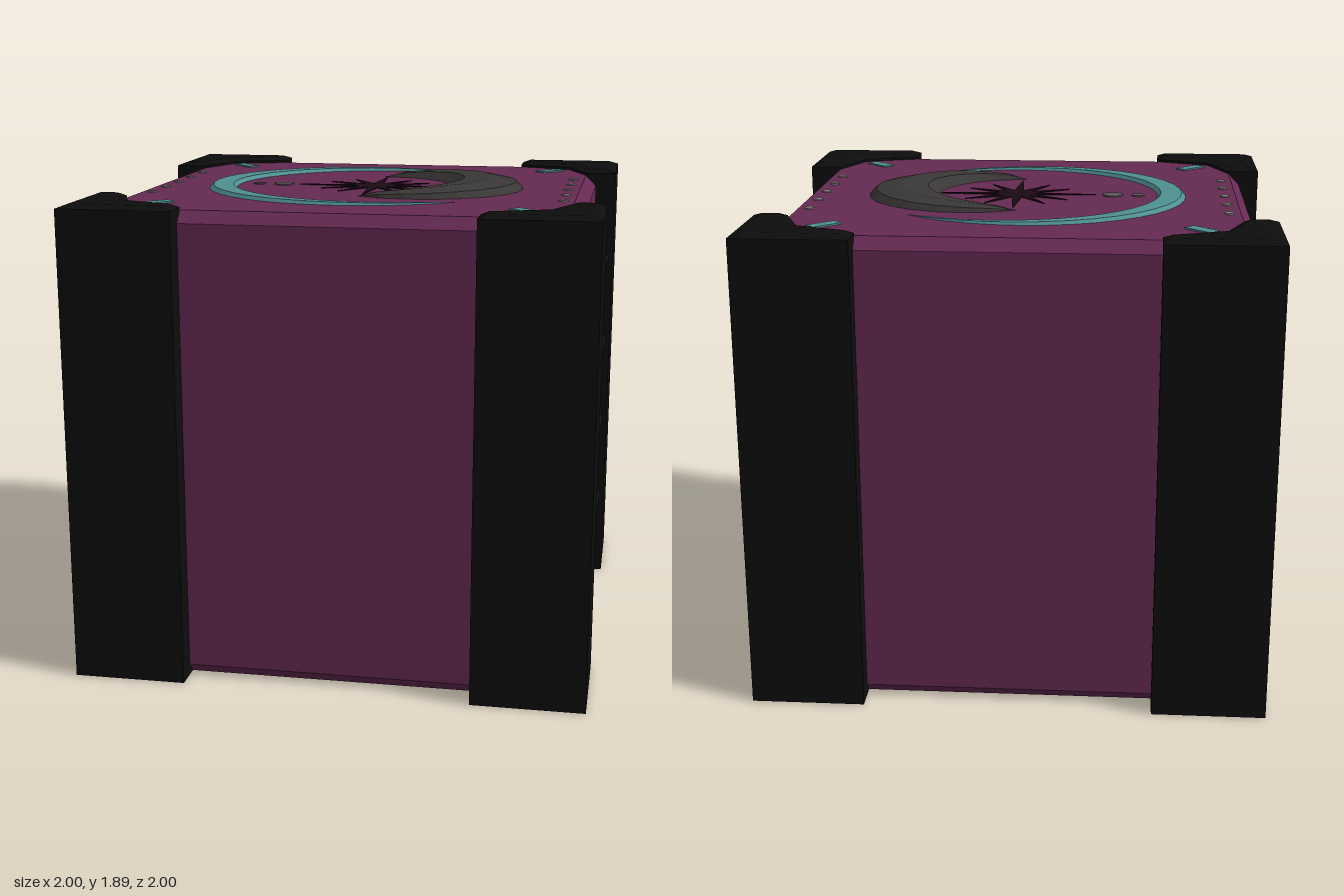
import * as THREE from 'three';

const TOP = 1.84; // height of the lid surface

const mat = (color) => new THREE.MeshStandardMaterial({ color, flatShading: true });
const purple = mat(0x652a52), black = mat(0x0d0d0d), iron = mat(0x171717), teal = mat(0x4f9090);
const charcoal = mat(0x3a3836), ink = mat(0x1a0a14), steel = mat(0x8a8a8a), dimGrey = mat(0x5c5a5a);

function build(positions, indices) {
  const g = new THREE.BufferGeometry();
  g.setAttribute('position', new THREE.Float32BufferAttribute(positions, 3));
  g.setIndex(indices);
  const flat = g.toNonIndexed();
  flat.computeVertexNormals();
  return flat;
}

// Closed solid through stacked rings of [x, z] points, each ring { y, pts }
function stack(rings) {
  const n = rings[0].pts.length, pos = [], idx = [];
  rings.forEach(({ y, pts }) => pts.forEach(([x, z]) => pos.push(x, y, z)));
  for (let k = 0; k < rings.length - 1; k++) {
    for (let i = 0; i < n; i++) {
      const a = k * n + i, b = k * n + (i + 1) % n;
      idx.push(a, a + n, b, b, a + n, b + n);
    }
  }
  const last = (rings.length - 1) * n;
  for (let i = 1; i < n - 1; i++) {
    idx.push(0, i, i + 1, last, last + i + 1, last + i);
  }
  return build(pos, idx);
}

// Raised crescent between two arcs that meet at (tipX, +-tipZ); side is the x direction it bulges to
function crescent({ side, tipX, tipZ, outer, inner, section, steps }) {
  const pos = [], idx = [], m = section.length;
  const arc = (c, t) => {
    const r = Math.hypot(tipX - c, tipZ);
    const half = Math.atan2(tipZ, (tipX - c) * side);
    const a = (side > 0 ? 0 : Math.PI) + half * (2 * t - 1);
    return [c + r * Math.cos(a), r * Math.sin(a)];
  };
  for (let j = 0; j <= steps; j++) {
    const t = j / steps, o = arc(outer, t), n = arc(inner, t);
    const rise = Math.sqrt(Math.max(0, Math.sin(Math.PI * t)));
    for (const [f, h] of section) {
      pos.push(o[0] + (n[0] - o[0]) * f, TOP + h * rise, o[1] + (n[1] - o[1]) * f);
    }
    if (j === steps) break;
    for (let i = 0; i < m - 1; i++) {
      const a = j * m + i;
      idx.push(a, a + 1, a + m, a + 1, a + m + 1, a + m);
    }
  }
  return build(pos, idx);
}

export function createModel() {
  const model = new THREE.Group();
  const add = (name, geometry, material, x = 0, y = 0, z = 0) => {
    const mesh = new THREE.Mesh(geometry, material);
    mesh.name = name;
    mesh.position.set(x, y, z);
    model.add(mesh);
    return mesh;
  };

  // Crate body with chamfered top and bottom edges
  const square = (s) => [[s, s], [-s, s], [-s, -s], [s, -s]];
  add('crateBody', stack([
    { y: 0, pts: square(0.87) },
    { y: 0.045, pts: square(0.915) },
    { y: 1.795, pts: square(0.915) },
    { y: TOP, pts: square(0.87) },
  ]), purple);

  // Corner posts wrapping the edges, with a sloped rim on top
  const foot = [[1, 1], [0.56, 1], [0.56, 0.87], [0.785, 0.785], [0.87, 0.56], [1, 0.56]];
  const crown = [[0.96, 0.96], [0.595, 0.96], [0.595, 0.895], [0.81, 0.81], [0.895, 0.595], [0.96, 0.595]];
  const postGeometry = stack([
    { y: 0.002, pts: foot }, { y: 1.85, pts: foot }, { y: 1.865, pts: crown },
  ]);
  for (let k = 0; k < 4; k++) {
    add('cornerPost', postGeometry, black).rotation.y = k * Math.PI / 2;
  }

  // Horizontal rails on the left and right sides
  const railGeometry = new THREE.CylinderGeometry(0.026, 0.026, 1.16, 8).rotateX(Math.PI / 2);
  for (const x of [-0.955, 0.955]) {
    for (const y of [0.38, 0.747, 1.113, 1.48]) add('sideRail', railGeometry, iron, x, y, 0);
  }

  // Large thin crescent and small thick crescent on the lid
  add('largeCrescent', crescent({
    side: -1, tipX: 0.43, tipZ: 0.46, outer: -0.021, inner: 0.048, steps: 30,
    section: [[0, 0], [0.14, 0.016], [0.88, 0.016], [1, 0]],
  }), teal);
  add('smallCrescent', crescent({
    side: 1, tipX: 0.01, tipZ: 0.35, outer: 0.228, inner: 0, steps: 16,
    section: [[0, 0], [0.1, 0.03], [0.45, 0.05], [0.84, 0.042], [1, 0]],
  }), charcoal);

  // Twelve-pointed star inlay
  const star = new THREE.Shape();
  for (let i = 0; i < 24; i++) {
    const r = i % 2 ? 0.075 : i % 6 ? 0.24 : 0.32;
    const a = i * Math.PI / 12;
    star[i ? 'lineTo' : 'moveTo'](r * Math.cos(a), r * Math.sin(a));
  }
  star.closePath();
  const starGeometry = new THREE.ExtrudeGeometry(star, { depth: 0.004, bevelEnabled: false });
  add('starInlay', starGeometry.rotateX(-Math.PI / 2), ink, 0.025, TOP, 0);

  // Two dots beside the star
  const disc = (r) => new THREE.CylinderGeometry(r, r, 0.006, 20);
  add('largeDot', disc(0.042), dimGrey, -0.365, TOP + 0.002, 0);
  add('smallDot', disc(0.026), dimGrey, -0.47, TOP + 0.002, 0);

  // Rivet rows along the lid edges
  const rivetGeometry = disc(0.02);
  for (const x of [-0.825, 0.825]) {
    for (let i = -2; i <= 2; i++) add('rivet', rivetGeometry, steel, x, TOP + 0.002, i * 0.183);
  }

  // Diagonal dashes pointing at the corners
  const dashGeometry = new THREE.BoxGeometry(0.13, 0.008, 0.053);
  for (const sx of [-1, 1]) {
    for (const sz of [-1, 1]) {
      add('cornerDash', dashGeometry, teal, sx * 0.706, TOP + 0.002, sz * 0.693)
        .rotation.y = -sx * sz * Math.PI / 4;
    }
  }

  return model;
}
